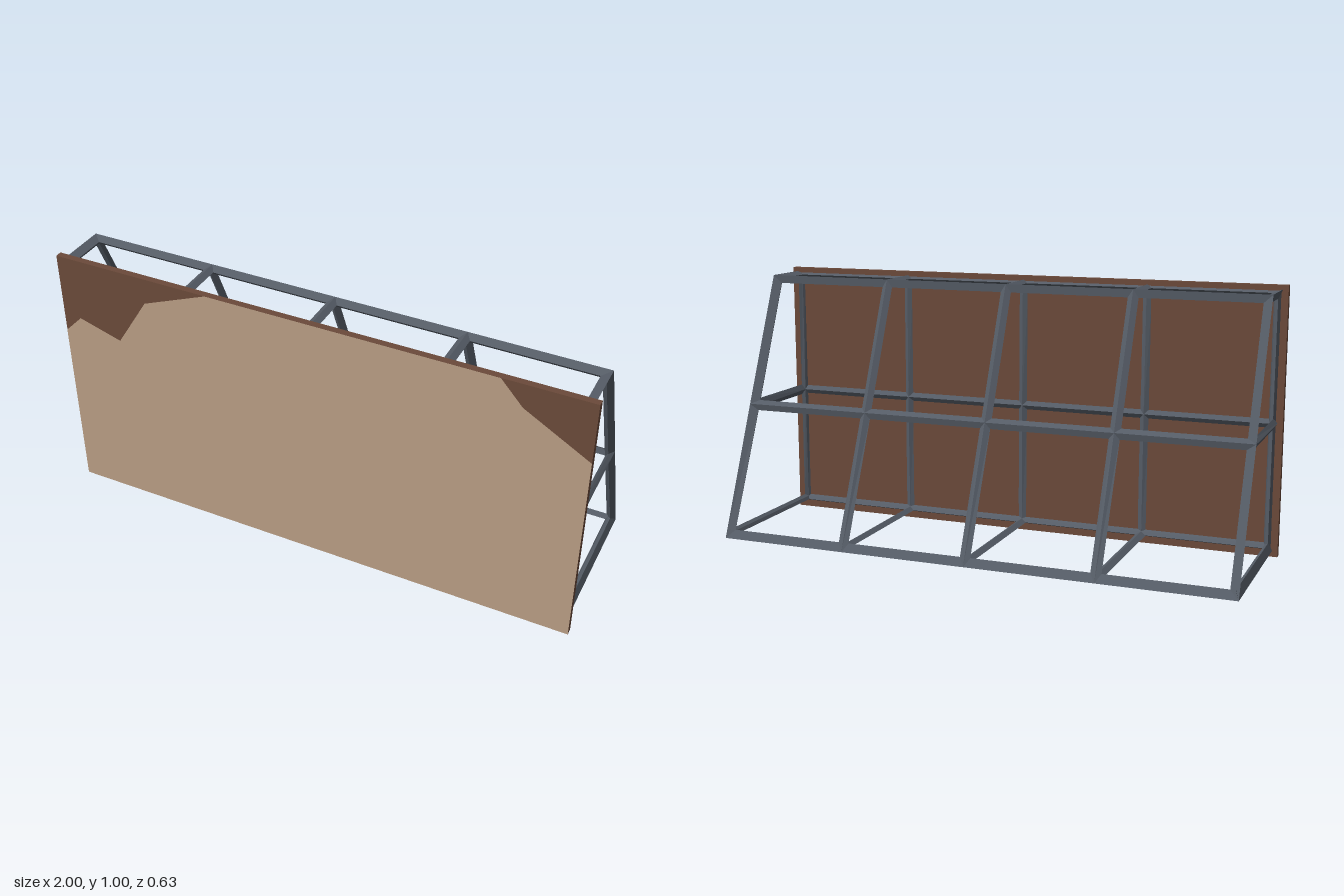
import * as THREE from 'three';

const steel = new THREE.MeshStandardMaterial({ color: 0x555c66, flatShading: true });
const wood = new THREE.MeshStandardMaterial({ color: 0x6b4a3a });
const paper = new THREE.MeshStandardMaterial({ color: 0xb89d84 });

const V = (x, y, z) => new THREE.Vector3(x, y, z);
const T = 0.02; // half width of a bar

// Side outline of the support frame: position (z, y) and outward offset (z, y)
const ring = [
  { z: 0.29, y: 0.034, o: [0.01, -0.012] },
  { z: 0.29, y: 0.5, o: [0.014, 0] },
  { z: 0.29, y: 0.973, o: [0.01, 0.012] },
  { z: 0.11, y: 0.973, o: [-0.01, 0.012] },
  { z: -0.094, y: 0.5, o: [-0.013, 0.005] },
  { z: -0.3, y: 0.034, o: [-0.012, -0.012] },
];
const columns = [-0.967, -0.485, 0, 0.485, 0.967];

const point = (i, j) => V(columns[j], ring[i].y, ring[i].z);
const side = (j) => (j === 0 ? -1 : j === 4 ? 1 : 0);
const outward = (i, j) => V(side(j) * 0.013, ring[i].o[1], ring[i].o[0]);

// Four-sided bar between two frame nodes: outer ridge, two face edges, inner ridge
function bar(name, [i0, j0], [i1, j1], edgeA, edgeB) {
  const a = point(i0, j0), b = point(i1, j1);
  const turn = outward(i0, j0).cross(edgeA).dot(b.clone().sub(a));
  const [p, q] = turn > 0 ? [edgeA, edgeB] : [edgeB, edgeA];
  const section = (c, out) => [
    c.clone().add(out), c.clone().add(p), c.clone().sub(out), c.clone().add(q),
  ];
  const sa = section(a, outward(i0, j0)), sb = section(b, outward(i1, j1));
  const tris = [];
  for (let k = 0; k < 4; k++) {
    const n = (k + 1) % 4;
    tris.push(sa[k], sa[n], sb[n], sa[k], sb[n], sb[k]);
  }
  const geometry = new THREE.BufferGeometry().setFromPoints(tris);
  geometry.computeVertexNormals();
  const mesh = new THREE.Mesh(geometry, steel);
  mesh.name = name;
  return mesh;
}

export function createModel() {
  const model = new THREE.Group();
  model.name = 'billboard';

  // Wooden panel
  const panel = new THREE.Mesh(new THREE.BoxGeometry(2, 1, 0.025), wood);
  panel.name = 'panel';
  panel.position.set(0, 0.5, 0.3);
  model.add(panel);

  // Paper sheet with torn upper corners
  const outline = [
    [-1, 0], [1, 0], [1, 0.77], [0.76, 0.91], [0.68, 1], [-0.39, 1],
    [-0.64, 0.9], [-0.765, 0.705], [-0.93, 0.755], [-1, 0.685],
  ].map(([x, y]) => new THREE.Vector2(x, y));
  const sheet = new THREE.Mesh(new THREE.ShapeGeometry(new THREE.Shape(outline)), paper);
  sheet.name = 'tornPaper';
  sheet.position.z = 0.3135;
  model.add(sheet);

  // Support frame
  const frame = new THREE.Group();
  frame.name = 'supportFrame';
  model.add(frame);

  const toward = (i, k) => point(k, 0).sub(point(i, 0)).setLength(T);
  for (let i = 0; i < 6; i++) {
    const next = (i + 1) % 6, prev = (i + 5) % 6;
    // Long rails running across the panel
    for (let j = 0; j < 4; j++) {
      frame.add(bar('longRail', [i, j], [i, j + 1], toward(i, next), toward(i, prev)));
    }
    // Ribs following the side outline
    const along = toward(i, next);
    const inward = V(0, along.z, -along.y);
    for (let j = 0; j < 5; j++) {
      const s = side(j);
      frame.add(s
        ? bar('endRib', [i, j], [next, j], V(-s * T, 0, 0), inward)
        : bar('rib', [i, j], [next, j], V(T, 0, 0), V(-T, 0, 0)));
    }
  }

  // Middle rails closing the two ends
  for (const j of [0, 4]) {
    frame.add(bar('endMiddleRail', [1, j], [4, j], V(0, T, 0), V(0, -T, 0)));
  }
  return model;
}
